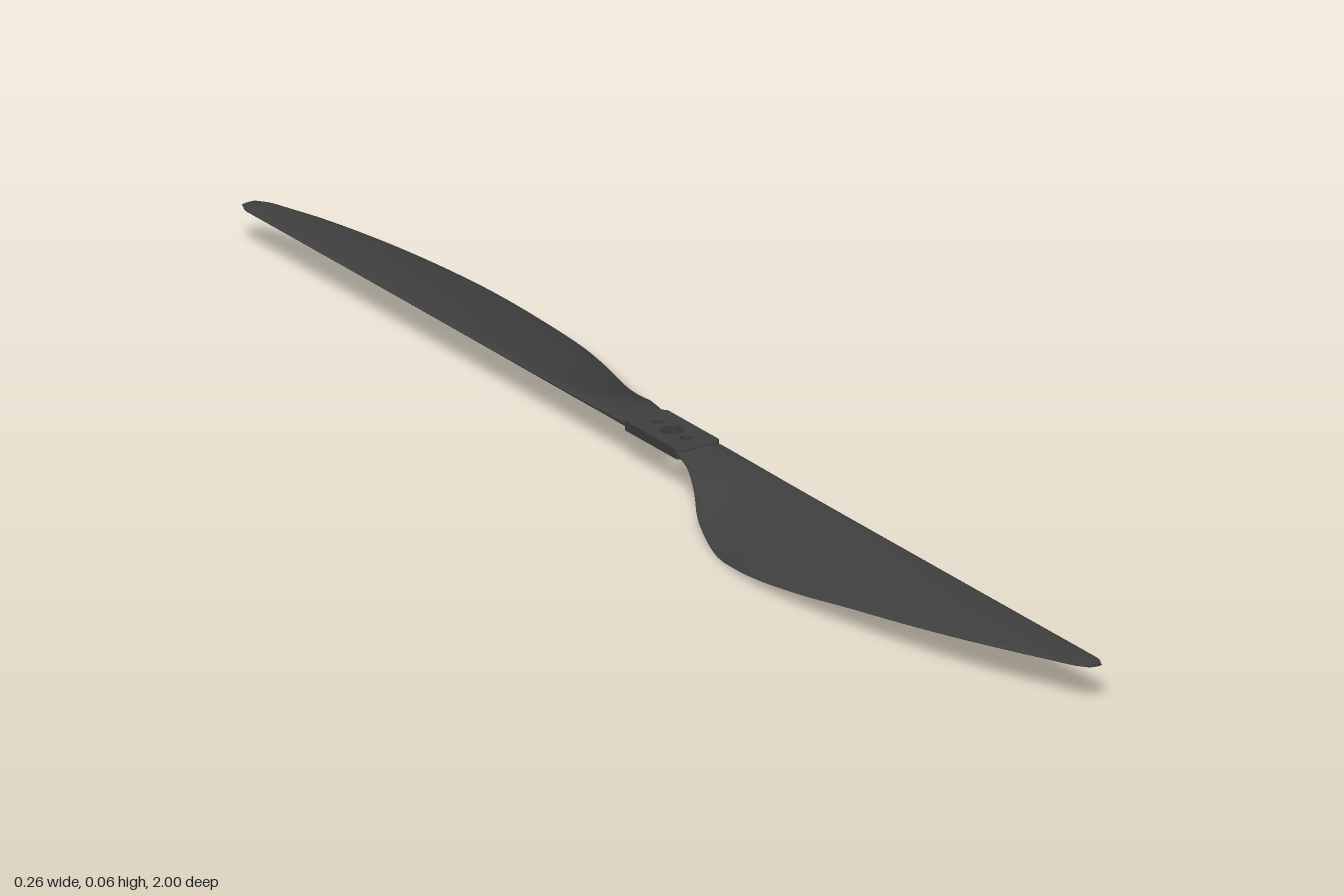
import * as THREE from 'three';
import { toCreasedNormals } from 'three/addons/utils/BufferGeometryUtils.js';

const LEAD_X = 0.033, LEAD_Y = 0.057;

// Trailing edge of one blade: x, y, distance from the hub
const trailing = new THREE.CatmullRomCurve3([
  [-0.033, 0.057, 0.06], [-0.043, 0.054, 0.1], [-0.064, 0.041, 0.15], [-0.09, 0.021, 0.2],
  [-0.115, 0.004, 0.28], [-0.127, 0.008, 0.35], [-0.131, 0.014, 0.41], [-0.126, 0.023, 0.5],
  [-0.113, 0.034, 0.6], [-0.095, 0.042, 0.7], [-0.071, 0.049, 0.8], [-0.04, 0.055, 0.9],
  [-0.021, 0.057, 0.95], [-0.007, 0.058, 0.985], [0.004, 0.058, 1.0],
].map((p) => new THREE.Vector3(...p)), false, 'centripetal');

// Cambered aerofoil sections lofted along the blade
function bladeGeometry(rows = 72, ring = 32) {
  const pos = [], index = [];
  for (let i = 0; i <= rows; i++) {
    const t = trailing.getPoint(i / rows);
    const tip = THREE.MathUtils.smoothstep(t.z, 0.975, 1);
    const leadX = LEAD_X - 0.007 * tip * tip;
    const chord = leadX - t.x;
    const thick = THREE.MathUtils.lerp(0.013, 0.006, t.z) * (1 - 0.4 * tip);
    const camber = 0.045 * (chord - 0.06);
    for (let j = 0; j < ring; j++) {
      const a = (j / ring) * Math.PI * 2;
      const u = 0.5 - 0.5 * Math.cos(a);
      const s = Math.sin(a);
      const v = Math.sign(s) * Math.pow(Math.abs(s), 0.7) * thick * 0.5 * (1 - 0.25 * u);
      pos.push(leadX - chord * u,
        THREE.MathUtils.lerp(LEAD_Y, t.y, u) + Math.max(camber, 0) * 4 * u * (1 - u) + v, t.z);
    }
  }
  for (let i = 0; i < rows; i++) {
    for (let j = 0; j < ring; j++) {
      const a = i * ring + j, b = i * ring + (j + 1) % ring;
      index.push(a, b, a + ring, b, b + ring, a + ring);
    }
  }
  // Close both ends
  const last = rows * ring;
  for (let j = 1; j < ring - 1; j++) {
    index.push(0, j + 1, j, last, last + j, last + j + 1);
  }
  const g = new THREE.BufferGeometry();
  g.setAttribute('position', new THREE.Float32BufferAttribute(pos, 3));
  g.setIndex(index);
  return toCreasedNormals(g, 0.9);
}

// Flat mounting plate with a shaft hole and two screw holes
function hubGeometry() {
  const w = 0.034, l = 0.07, c = 0.008;
  const plate = new THREE.Shape([
    [-w, -l + c], [-w + c, -l], [w - c, -l], [w, -l + c],
    [w, l - c], [w - c, l], [-w + c, l], [-w, l - c],
  ].map((p) => new THREE.Vector2(...p)));
  for (const [y, r] of [[0, 0.016], [0.034, 0.008], [-0.034, 0.008]]) {
    plate.holes.push(new THREE.Path().absarc(0, y, r, 0, Math.PI * 2, true));
  }
  const g = new THREE.ExtrudeGeometry(plate, { depth: 0.014, bevelEnabled: false, curveSegments: 16 });
  g.rotateX(-Math.PI / 2);
  g.translate(0, 0.05, 0);
  return toCreasedNormals(g, 0.6);
}

export function createModel() {
  const group = new THREE.Group();
  group.name = 'propeller';
  const material = new THREE.MeshStandardMaterial({ color: 0x404040 });

  const hub = new THREE.Mesh(hubGeometry(), material);
  hub.name = 'hub';
  group.add(hub);

  // Two blades, half a turn apart
  const geometry = bladeGeometry();
  ['frontBlade', 'backBlade'].forEach((name, i) => {
    const blade = new THREE.Mesh(geometry, material);
    blade.name = name;
    blade.rotation.y = i * Math.PI;
    group.add(blade);
  });
  return group;
}
